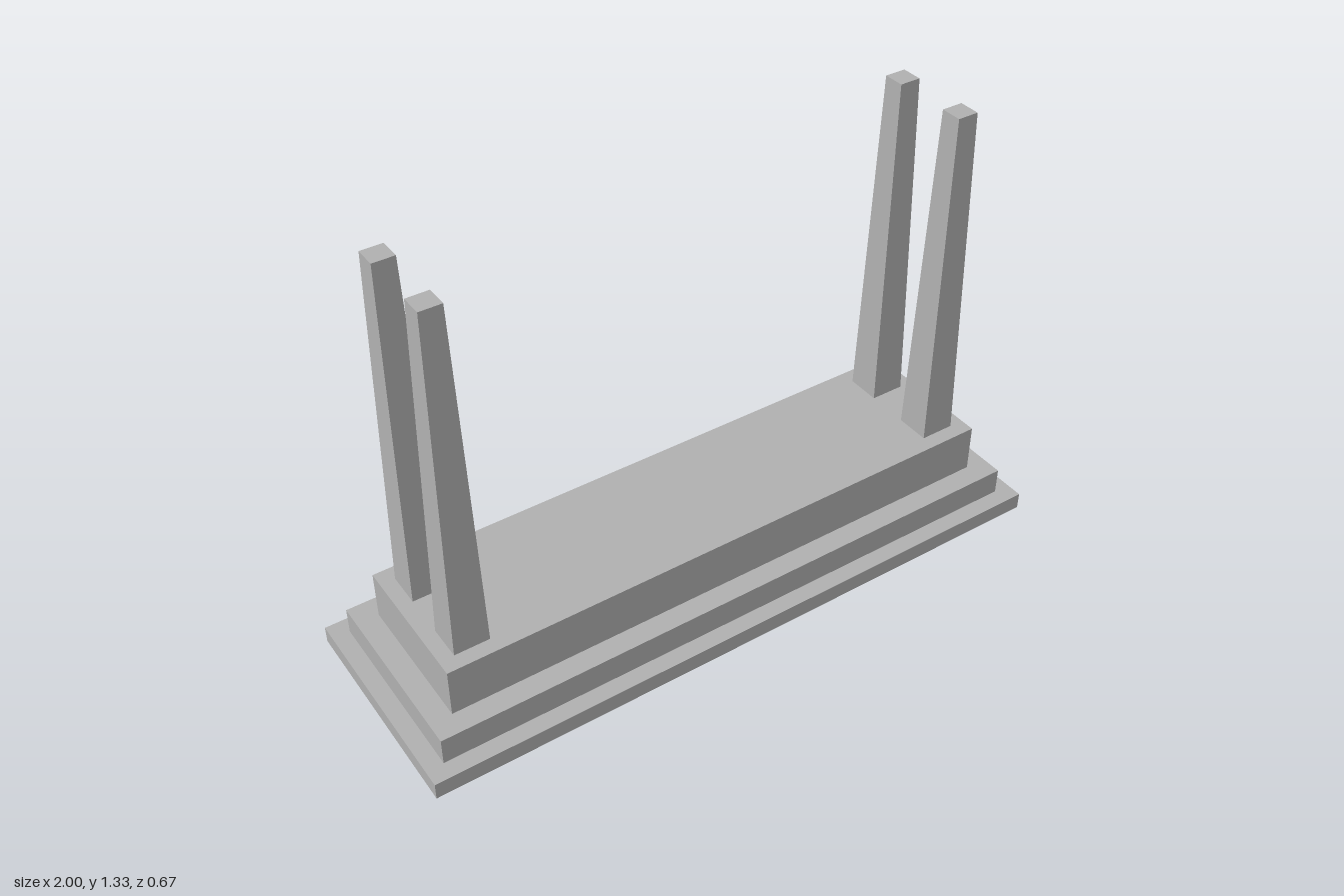
import * as THREE from 'three';

export function createModel() {
  const group = new THREE.Group();
  const stone = new THREE.MeshStandardMaterial({ color: 0xb0b0b0 });
  stone.name = 'grey stone';

  // Box given by its lower and upper height; its top can be narrowed by a factor
  function block(name, width, depth, y0, y1, x = 0, z = 0, taper = 1) {
    const geometry = new THREE.BoxGeometry(width, y1 - y0, depth);
    const p = geometry.attributes.position;
    for (let i = 0; i < p.count; i++) {
      if (p.getY(i) > 0) {
        p.setX(i, p.getX(i) * taper);
        p.setZ(i, p.getZ(i) * taper);
      }
    }
    geometry.computeVertexNormals();
    const mesh = new THREE.Mesh(geometry, stone);
    mesh.name = name;
    mesh.position.set(x, (y0 + y1) / 2, z);
    group.add(mesh);
  }

  // Stepped plinth
  block('lowerStep', 2, 0.667, 0, 0.052);
  block('middleStep', 1.896, 0.564, 0.052, 0.135);
  block('upperStep', 1.762, 0.432, 0.135, 0.285);

  // Tapered pillars, a pair at each end
  for (const sx of [-1, 1]) {
    for (const sz of [-1, 1]) {
      const name = (sz > 0 ? 'front' : 'back') + (sx > 0 ? 'Left' : 'Right') + 'Pillar';
      block(name, 0.105, 0.105, 0.285, 1.334, sx * 0.784, sz * 0.117, 0.61);
    }
  }
  return group;
}
